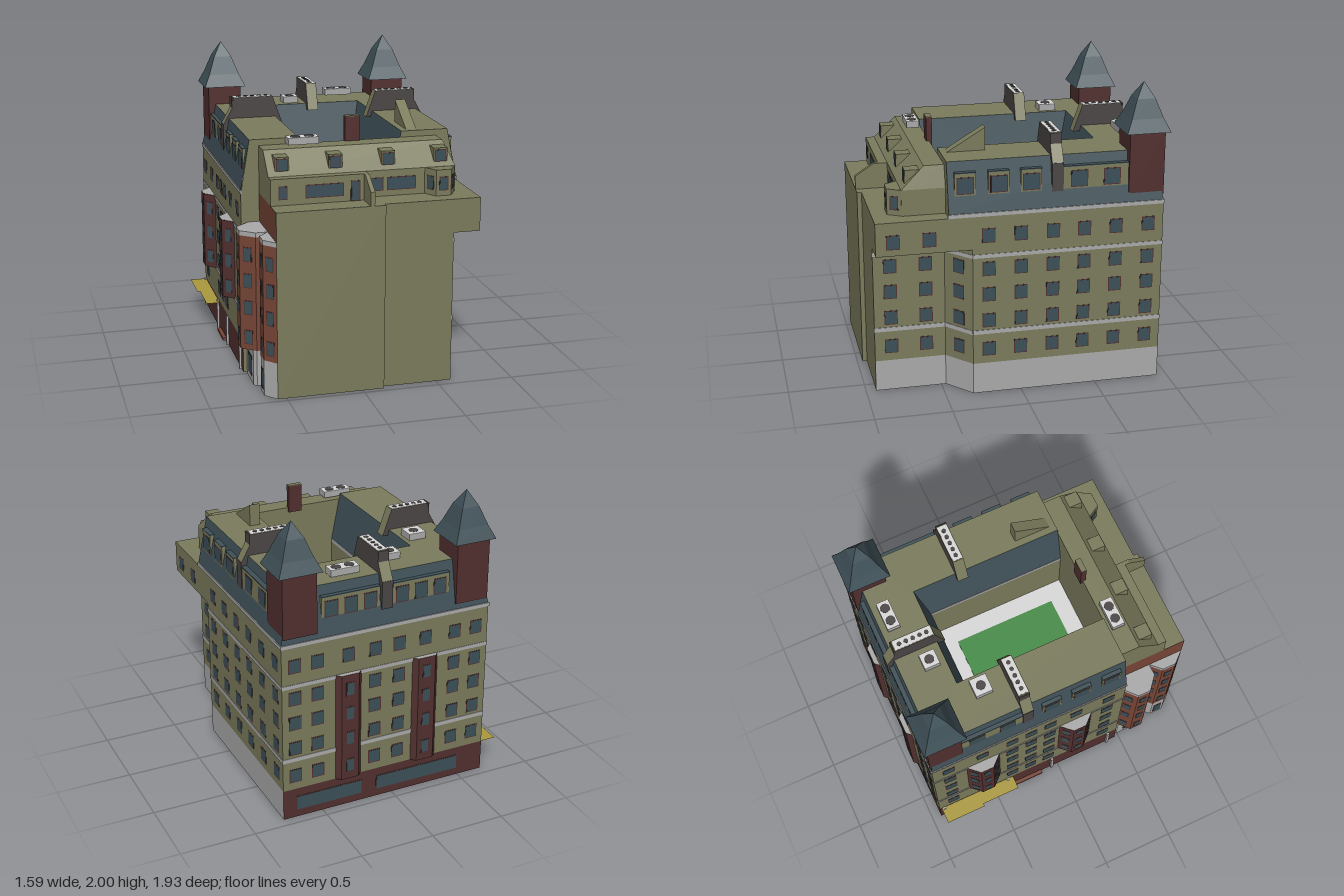
import * as THREE from 'three';

const mat = (name, color) => {
  const m = new THREE.MeshStandardMaterial({ color, side: THREE.DoubleSide });
  m.name = name;
  return m;
};
const M = {
  olive: mat('olive render', 0x7b7b5d), slate: mat('slate', 0x3f5158), pane: mat('glass', 0x3c4f58),
  stone: mat('stone grey', 0xabaaaa), pale: mat('pale paving', 0xd9d9d9), red: mat('dark red', 0x52302f),
  brick: mat('brick', 0x774636), flue: mat('flue brown', 0x4c4646), green: mat('lawn', 0x468c48),
  yellow: mat('awning yellow', 0xab993e),
};
const CX = 0.0475;                                // centre line of the main block
const ROWS = [0.31, 0.51, 0.69, 0.865, 1.09];     // window heights
const LEFT = -Math.PI / 2, RIGHT = Math.PI / 2, BACK = Math.PI;

export function createModel() {
  const root = new THREE.Group();
  root.name = 'cornerBuilding';

  const add = (name, geo, m, parent = root) => {
    const mesh = new THREE.Mesh(geo, m);
    mesh.name = name;
    parent.add(mesh);
    return mesh;
  };
  const box = (name, x0, x1, y0, y1, z0, z1, m, parent = root) => {
    const mesh = add(name, new THREE.BoxGeometry(x1 - x0, y1 - y0, z1 - z0), m, parent);
    mesh.position.set((x0 + x1) / 2, (y0 + y1) / 2, (z0 + z1) / 2);
    return mesh;
  };
  // Flat-shaded strip between two outlines of [x, z] points
  const loft = (name, low, y0, high, y1, m, closed = false) => {
    const v = [], n = low.length;
    for (let i = 0; i < (closed ? n : n - 1); i++) {
      const j = (i + 1) % n;
      const a = [low[i][0], y0, low[i][1]], b = [low[j][0], y0, low[j][1]];
      const c = [high[j][0], y1, high[j][1]], d = [high[i][0], y1, high[i][1]];
      v.push(...a, ...b, ...c, ...a, ...c, ...d);
    }
    const g = new THREE.BufferGeometry();
    g.setAttribute('position', new THREE.Float32BufferAttribute(v, 3));
    g.computeVertexNormals();
    return add(name, g, m);
  };
  const wall = (name, pts, y0, y1, m) => loft(name, pts, y0, pts, y1, m);
  const plan = pts => new THREE.Shape(pts.map(([x, z]) => new THREE.Vector2(x, -z)));
  const flat = (name, pts, y, m, hole) => {
    const s = plan(pts);
    if (hole) s.holes.push(plan(hole));
    add(name, new THREE.ShapeGeometry(s).rotateX(-Math.PI / 2), m).position.y = y;
  };
  const rect = (x0, x1, z0, z1) => [[x0, z1], [x1, z1], [x1, z0], [x0, z0]];
  // Framed window centred on a wall plane, facing the angle ry
  const win = (x, y, z, ry, w = 0.075, h = 0.085, parent = root) => {
    const g = new THREE.Group();
    g.name = 'window';
    g.position.set(x, y, z);
    g.rotation.y = ry;
    parent.add(g);
    box('frame', -w / 2 - 0.006, w / 2 + 0.006, -h / 2 - 0.006, h / 2 + 0.006, -0.0015, 0.0015, M.red, g);
    box('glass', -w / 2, w / 2, -h / 2, h / 2, -0.0028, 0.0028, M.pane, g);
  };
  // Stone band following a path of wall corners
  const band = (path, y0, y1, t = 0.006) => {
    for (let i = 0; i < path.length - 1; i++) {
      const [ax, az] = path[i], [bx, bz] = path[i + 1];
      const g = new THREE.BoxGeometry(Math.hypot(bx - ax, bz - az) + t, y1 - y0, t);
      const m = add('stoneBand', g, M.stone);
      m.position.set((ax + bx) / 2, (y0 + y1) / 2, (az + bz) / 2);
      m.rotation.y = -Math.atan2(bz - az, bx - ax);
    }
  };

  // Outer walls, open underneath
  const front = [[-0.56, 0.965], [0.14, 0.965], [0.14, 0.935], [0.6, 0.935]];
  const right = [[0.6, 0.935], [0.6, 0.47], [0.775, 0.32], [0.775, -0.935]];
  const back = [[0.775, -0.935], [-0.68, -0.935]];
  const left = [[-0.68, -0.935], [-0.68, 0.47]];
  wall('frontWall', front, 0, 1.22, M.olive);
  wall('rightBase', right, 0, 0.21, M.stone);
  wall('rightWall', right, 0.21, 1, M.olive);
  wall('rightUpperWall', [[0.6, 0.935], [0.775, 0.935], [0.775, -0.935]], 1, 1.22, M.olive);
  flat('overhangUnderside', [[0.6, 0.935], [0.775, 0.935], [0.775, 0.32], [0.6, 0.47]], 1, M.olive);
  wall('shopBase', [...back, left[1]], 0, 0.21, M.red);
  wall('backAndLeftWall', [...back, left[1]], 0.21, 1.22, M.olive);
  wall('leftReturn', [left[1], [-0.56, 0.47]], 0, 1.22, M.olive);
  for (const [y0, y1] of [[0.415, 0.443], [0.94, 0.965]]) band([...right, back[1], left[1]], y0, y1);
  band([[0.775, 0.47], ...back, left[1]], 1.22, 1.245, 0.01);

  // Windows of the main walls
  for (const [r, y] of ROWS.entries()) {
    for (const z of [0.825, 0.595]) win(r < 4 ? 0.6 : 0.775, y, z, RIGHT);
    if (r < 4) win(0.6875, y, 0.395, Math.atan2(0.15, 0.175), 0.075);
    for (const z of [0.215, 0.005, -0.205, -0.41, -0.62, -0.835]) win(0.775, y, z, RIGHT);
    for (const u of [0.085, 0.485, 0.64]) for (const s of [-1, 1]) win(CX + s * u, y, -0.935, BACK);
    for (const z of [-0.82, -0.36, -0.22, -0.08, 0.35]) win(-0.68, y, z, LEFT);
  }
  for (const z of [0.11, -0.575]) win(-0.68, ROWS[4], z, LEFT);
  for (const x of [-0.225, 0.32]) win(x, ROWS[4], -0.935, BACK);

  // Canted bays: open wall strip with a window on each wide enough facet
  const bay = (path, y0, y1, m, rows) => {
    wall('bayWall', path, y0, y1, m);
    for (let i = 0; i < path.length - 1; i++) {
      const [ax, az] = path[i], [bx, bz] = path[i + 1], len = Math.hypot(bx - ax, bz - az);
      if (len < 0.085) continue;
      for (const y of rows) win((ax + bx) / 2, y, (az + bz) / 2, -Math.atan2(bz - az, bx - ax), Math.min(len * 0.45, 0.05), 0.085);
    }
  };
  for (const x of [-0.225, 0.32]) {
    const path = [[x + 0.09, -0.935], [x + 0.06, -0.967], [x - 0.06, -0.967], [x - 0.09, -0.935]];
    bay(path, 0.21, 0.965, M.red, ROWS.slice(0, 4));
    flat('bayTop', path, 0.965, M.stone);
  }
  for (const z of [0.11, -0.575]) {
    const path = [[-0.68, z - 0.12], [-0.75, z - 0.045], [-0.75, z + 0.045], [-0.68, z + 0.12]];
    bay(path, 0.43, 0.965, M.red, ROWS.slice(1, 4));
    flat('bayTop', path, 0.966, M.stone);
    flat('bayUnderside', path, 0.43, M.red);
  }

  // Brick corner on the front left: stone base, two tall bays, plain wall above
  const smallBay = [[-0.56, 0.72], [-0.63, 0.79], [-0.63, 0.885], [-0.56, 0.965]];
  const bigBay = [[-0.56, 0.47], [-0.635, 0.47], [-0.73, 0.555], [-0.73, 0.645], [-0.64, 0.72]];
  const brickPath = [...bigBay, ...smallBay];
  wall('brickCornerBase', [[-0.56, 0.47], [-0.635, 0.47], [-0.66, 0.495], [-0.66, 0.7], [-0.64, 0.72], ...smallBay], 0, 0.24, M.stone);
  flat('bigBayUnderside', [[-0.66, 0.495], [-0.73, 0.555], [-0.73, 0.645], [-0.66, 0.7]], 0.24, M.brick);
  bay(brickPath, 0.24, 1, M.brick, ROWS.slice(0, 4).map(y => y + 0.015));
  wall('brickBayRim', brickPath, 1, 1.03, M.stone);
  flat('brickBayTop', brickPath, 1.03, M.stone);
  wall('brickUpperWall', [[-0.56, 0.47], [-0.56, 0.965]], 1.03, 1.22, M.brick);
  win(-0.66, 0.11, 0.6, LEFT, 0.1, 0.13);
  win(-0.63, 0.1, 0.8375, LEFT, 0.05, 0.13);

  // Shop fronts, pillars, awning and step
  win(0.45, 0.1, -0.935, BACK, 0.46, 0.095);
  win(-0.19, 0.1, -0.935, BACK, 0.6, 0.095);
  for (const z of [-0.9, -0.4, -0.05, 0.4]) box('pillar', -0.695, -0.68, 0, 0.21, z - 0.01, z + 0.01, M.stone);
  flat('awning', rect(-0.795, -0.68, -0.92, -0.635), 0.2, M.yellow);
  flat('awning', rect(-0.775, -0.68, -0.635, -0.36), 0.2, M.yellow);
  box('step', -0.705, -0.68, 0, 0.02, -0.345, -0.13, M.brick);

  // Mansard roof, flat roof and courtyard
  const court = rect(-0.3, 0.39, -0.57, 0.47), floor = rect(-0.235, 0.325, -0.495, 0.47);
  const openEnd = r => [r[1], r[2], r[3], r[0]];
  loft('mansard', openEnd(rect(-0.68, 0.775, -0.935, 0.47)), 1.24, openEnd(rect(-0.62, 0.705, -0.87, 0.47)), 1.57, M.slate);
  flat('mainRoof', [[-0.62, 0.47], [-0.62, -0.87], [0.705, -0.87], [0.705, 0.47], ...openEnd(court)], 1.57, M.olive);
  loft('mansardFrontEnd', [[-0.68, 0.47], [-0.235, 0.47]], 1.22, [[-0.62, 0.47], [-0.3, 0.47]], 1.57, M.olive);
  loft('mansardFrontEnd', [[0.325, 0.47], [0.775, 0.47]], 1.22, [[0.39, 0.47], [0.705, 0.47]], 1.57, M.olive);
  loft('courtFrontWall', [[-0.235, 0.47], [0.325, 0.47]], 1.22, [[-0.295, 0.47], [0.385, 0.47]], 1.53, M.olive);
  loft('courtMansard', openEnd(floor), 1.24, openEnd(court), 1.57, M.slate);
  wall('courtWalls', [...floor, floor[0]], 0.85, 1.24, M.olive);
  band(openEnd(floor), 1.215, 1.24);
  flat('courtFloor', floor, 0.85, M.pale);
  box('lawn', -0.11, 0.2, 0.85, 0.856, -0.37, 0.35, M.green);

  // Mansard dormers: w is the width, n the number of windows
  const dormer = (x, z, ry, w, n, ww) => {
    const g = new THREE.Group();
    g.name = 'dormer';
    g.position.set(x, 0, z);
    g.rotation.y = ry;
    root.add(g);
    box('dormerBody', -w / 2, w / 2, 1.35, 1.5, -0.09, 0, M.olive, g);
    box('dormerRoof', -w / 2, w / 2, 1.5, 1.506, -0.09, 0.003, M.slate, g);
    for (let i = 0; i < n; i++) win(w * ((i + 0.5) / n - 0.5), 1.42, 0, 0, ww, 0.1, g);
  };
  for (const s of [-1, 1]) {
    for (const z of [0.36, 0.145, -0.065]) dormer(CX + s * 0.703, z, s * RIGHT, 0.135, 1, 0.1);
    dormer(CX + s * 0.703, -0.485, s * RIGHT, 0.43, 2, 0.1);
    dormer(CX + s * 0.245, -0.91, BACK, 0.4, 3, 0.08);
  }

  // Corner towers with flared spires
  const square = (x, z, h) => rect(x - h, x + h, z - h, z + h);
  const spire = [[0.115, 1.69], [0.145, 1.695], [0.105, 1.78], [0.06, 1.9], [0.0005, 2]];
  for (const s of [-1, 1]) {
    const x = CX + s * 0.6, z = -0.817;
    box('towerBody', x - 0.115, x + 0.115, 1.28, 1.7, z - 0.118, z + 0.115, M.red);
    for (let i = 0; i < 4; i++) {
      const [a, b] = [spire[i], spire[i + 1]];
      loft('spire', square(x, z, a[0]), a[1], square(x, z, b[0]), b[1], M.slate, true);
    }
  }

  // Chimney walls reaching from the courtyard edge over the mansard, olive on the slopes
  const profile = [[0.3, 1.53], [0.365, 1.71], [0.637, 1.71], [0.645, 1.64], [0.705, 1.53], [0.705, 1.345], [0.58, 1.345], [0.58, 1.53]];
  for (const [x, z, ry] of [[CX, -0.235, 0], [CX, -0.235, Math.PI], [CX, -0.215, Math.PI / 2]]) {
    const g = new THREE.Group();
    g.name = 'chimneyWall';
    g.position.set(x, 0, z);
    g.rotation.y = ry;
    root.add(g);
    const s = new THREE.Shape(profile.map(p => new THREE.Vector2(...p)));
    add('chimneyBody', new THREE.ExtrudeGeometry(s, { depth: 0.075, bevelEnabled: false }), [M.flue, M.olive], g).position.z = -0.0375;
    box('chimneyUpperEnd', 0.64, 0.647, 1.64, 1.71, -0.0375, 0.0375, M.flue, g);
    box('chimneyLowerEnd', 0.702, 0.708, 1.345, 1.53, -0.0375, 0.0375, M.flue, g);
    box('chimneyCap', 0.37, 0.63, 1.709, 1.712, -0.033, 0.033, M.pale, g);
    for (let i = 0; i < 5; i++) add('pot', new THREE.CylinderGeometry(0.015, 0.015, 0.004, 10), M.flue, g).position.set(0.405 + i * 0.047, 1.713, 0);
  }

  // Roof vents with fans
  const vent = (x0, x1, z0, z1, y, n) => {
    box('ventBody', x0, x1, y, y + 0.042, z0, z1, M.stone);
    box('ventTop', x0, x1, y + 0.042, y + 0.045, z0, z1, M.pale);
    for (let i = 0; i < n; i++) {
      add('fan', new THREE.CylinderGeometry(0.032, 0.032, 0.004, 16), M.flue)
        .position.set((x0 + x1) / 2 + (i - (n - 1) / 2) * 0.09, y + 0.045, (z0 + z1) / 2);
    }
  };
  vent(-0.145, -0.04, -0.72, -0.615, 1.57, 1);
  vent(-0.45, -0.33, -0.5, -0.385, 1.57, 1);
  vent(0.195, 0.39, -0.83, -0.745, 1.585, 2);
  vent(-0.39, -0.19, 0.49, 0.575, 1.545, 2);

  // Front terrace and attic storey
  flat('terrace', [...front.slice(0, 3), [0.775, 0.935], [0.775, 0.47], [-0.56, 0.47]], 1.22, M.olive);
  box('atticLeft', -0.56, 0.05, 1.22, 1.39, 0.47, 0.81, M.olive);
  box('atticRight', 0.05, 0.665, 1.22, 1.39, 0.47, 0.75, M.olive);
  const atticBay = [[0.46, 0.75], [0.51, 0.835], [0.61, 0.835], [0.66, 0.75]];
  wall('atticBay', atticBay, 1.22, 1.39, M.olive);
  flat('atticBayTop', atticBay, 1.389, M.olive);
  const high = rect(-0.56, 0.625, 0.47, 0.6);
  loft('frontRoofSlope', rect(-0.56, 0.665, 0.47, 0.75), 1.39, high, 1.53, M.olive, true);
  flat('frontRoofTop', high, 1.53, M.olive);
  for (const [x, w] of [[-0.48, 0.045], [-0.215, 0.235]]) win(x, 1.3, 0.81, 0, w, 0.075);
  win(-0.015, 1.285, 0.81, 0, 0.05, 0.12);
  for (const [x, w] of [[0.14, 0.08], [0.305, 0.18]]) win(x, 1.3, 0.75, 0, w, 0.075);
  win(0.56, 1.3, 0.835, 0, 0.05, 0.08);
  for (const s of [-1, 1]) win(0.56 + s * 0.075, 1.3, 0.7925, s * 1.04, 0.045, 0.08);
  for (const x of [-0.465, -0.12, 0.225, 0.575]) {
    box('smallDormer', x - 0.045, x + 0.045, 1.4, 1.505, 0.6, 0.72, M.olive);
    win(x, 1.455, 0.72, 0, 0.065, 0.07);
  }

  // Side profiles given as [z, y] and extruded along x
  const sideProfile = (name, pts, x0, x1) => {
    const s = new THREE.Shape(pts.map(([z, y]) => new THREE.Vector2(-z, y)));
    const g = new THREE.ExtrudeGeometry(s, { depth: x1 - x0, bevelEnabled: false });
    add(name, g.rotateY(Math.PI / 2), M.olive).position.x = x0;
  };
  sideProfile('terraceDivider', [[0.75, 1.22], [0.965, 1.22], [0.965, 1.31], [0.84, 1.39], [0.75, 1.39]], 0.04, 0.068);
  sideProfile('stairHead', [[0.43, 1.57], [0.18, 1.57], [0.18, 1.72]], 0.435, 0.505);
  box('frontChimney', 0.005, 0.1, 1.5, 1.69, 0.452, 0.49, M.red);
  box('frontChimneyTop', 0.005, 0.1, 1.69, 1.695, 0.452, 0.49, M.olive);
  return root;
}
